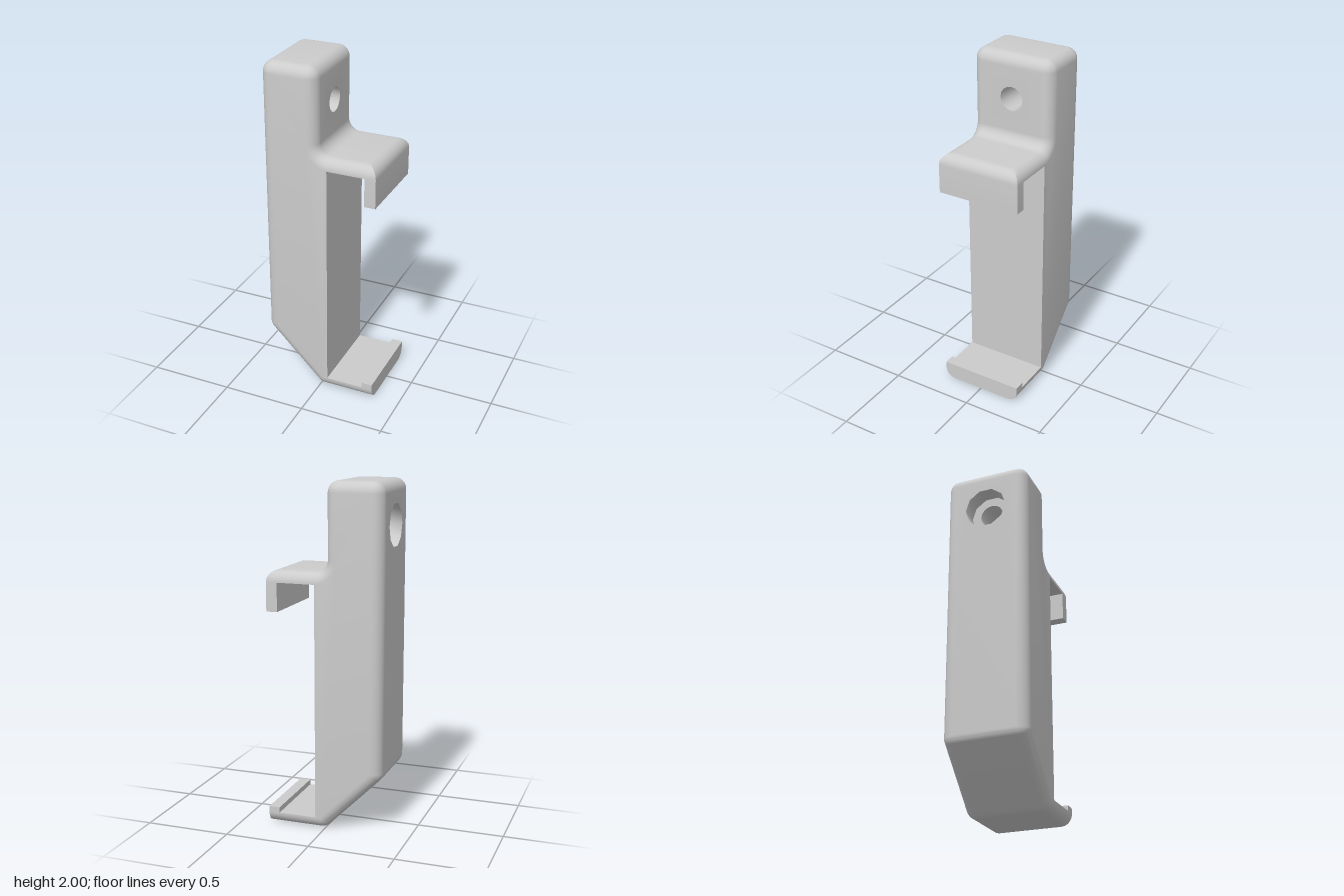
import * as THREE from 'three';
import { toCreasedNormals, mergeGeometries } from 'three/addons/utils/BufferGeometryUtils.js';

const R = 0.065;      // edge rounding
const N = 8;          // segments per rounding
const HALF = 0.25;    // half width along z
const HOLE_Y = 1.75;
const FLOOR_X = -0.24; // bottom of the screw-head recess

const arc = (cx, cy, r, a0, a1) => Array.from({ length: N + 1 }, (_, i) => {
  const a = THREE.MathUtils.degToRad(a0 + (a1 - a0) * i / N);
  return [cx + r * Math.cos(a), cy + r * Math.sin(a)];
});

// Clockwise side profile; d insets only the rounded outer contour
function section(d) {
  const k = R * (Math.SQRT2 - 1), r = R - d;
  return [
    [0.34, d],
    ...arc(k, R, r, 270, 225),
    ...arc(-0.34 + R, 0.34 + k, r, 225, 180),
    ...arc(-0.34 + R, 2 - R, r, 180, 90),
    ...arc(-0.01 - R, 2 - R, r, 90, 0),
    ...arc(-0.01 + R, 1.5 + R, R + d, 180, 270),
    ...arc(0.34 - R, 1.5 - R, R, 90, 0).map(([x, y]) => [x, Math.min(y, 1.5 - d)]),
    [0.34, 1.265], [0.275, 1.265], [0.275, 1.432], [0.052, 1.432],
    [0.052, 0.068], [0.275, 0.068], [0.275, 0.1], [0.34, 0.1],
  ];
}

// Collects triangles, dropping collapsed ones
function builder() {
  const pos = [];
  const tri = (a, b, c) => {
    const t = new THREE.Triangle(...[a, b, c].map((p) => new THREE.Vector3(...p)));
    if (t.getArea() > 1e-9) pos.push(...a, ...b, ...c);
  };
  const quad = (a, b, c, d) => { tri(a, b, c); tri(a, c, d); };
  const geometry = () => new THREE.BufferGeometry()
    .setAttribute('position', new THREE.Float32BufferAttribute(pos, 3));
  return { tri, quad, geometry };
}

const circle = (r, sides) => Array.from({ length: sides }, (_, i) => {
  const a = (i / sides) * Math.PI * 2;
  return new THREE.Vector2(r * Math.cos(a), HOLE_Y + r * Math.sin(a));
});
const recess = circle(0.125, 10);
const bore = circle(0.07, 16);

// Flat plate in the z-y plane with a hole, facing dir along x
function plate(outline, hole, x, dir) {
  const shape = new THREE.Shape(outline);
  shape.holes.push(new THREE.Path(hole));
  const g = new THREE.ShapeGeometry(shape).rotateY(dir * Math.PI / 2).translate(x, 0, 0).toNonIndexed();
  g.deleteAttribute('uv');
  g.deleteAttribute('normal');
  return g;
}
const rect = (w, y0, y1) => [[-w, y0], [w, y0], [w, y1], [-w, y1]].map((p) => new THREE.Vector2(...p));

function bodyGeometry() {
  const b = builder();
  // Rows across the width: quarter-round, flat middle, quarter-round
  const rows = [];
  for (let i = 0; i <= N; i++) {
    const a = (i / N) * Math.PI / 2;
    rows.push({ z: -HALF + R - R * Math.cos(a), pts: section(R * (1 - Math.sin(a))) });
  }
  rows.push(...rows.map(({ z, pts }) => ({ z: -z, pts })).reverse());

  const backEdge = 2 * (N + 1), frontEdge = 4 * (N + 1);
  for (let j = 0; j < rows.length - 1; j++) {
    const A = rows[j], B = rows[j + 1];
    A.pts.forEach((p, i) => {
      // The two drilled faces are made as plates below
      if (j === N && (i === backEdge || i === frontEdge)) return;
      const n = (i + 1) % A.pts.length;
      b.quad([...p, A.z], [...B.pts[i], B.z], [...B.pts[n], B.z], [...A.pts[n], A.z]);
    });
  }

  // Flat sides
  const end = rows[0].pts.filter((p, i, all) => {
    const q = all[(i + 1) % all.length];
    return Math.hypot(p[0] - q[0], p[1] - q[1]) > 1e-6;
  });
  const v = end.map((p) => new THREE.Vector2(...p));
  for (const face of THREE.ShapeUtils.triangulateShape(v, [])) {
    const ccw = THREE.ShapeUtils.area(face.map((i) => v[i])) > 0;
    const [p, q, s] = ccw ? face : [...face].reverse();
    b.tri([...end[p], HALF], [...end[q], HALF], [...end[s], HALF]);
    b.tri([...end[s], -HALF], [...end[q], -HALF], [...end[p], -HALF]);
  }

  // Drilled back and front faces
  const w = HALF - R;
  const back = plate(rect(w, 0.34 + R * (Math.SQRT2 - 1), 2 - R), recess, -0.34, -1);
  const front = plate(rect(w, 1.5 + R, 2 - R), bore, -0.01, 1);
  return toCreasedNormals(mergeGeometries([b.geometry(), back, front]), 0.6);
}

// Screw hole: wide recess at the back, narrow bore through to the front
function holeGeometry() {
  const b = builder();
  const wall = (pts, x0, x1) => pts.forEach((p, i) => {
    const q = pts[(i + 1) % pts.length];
    b.quad([x0, p.y, p.x], [x0, q.y, q.x], [x1, q.y, q.x], [x1, p.y, p.x]);
  });
  wall(recess, -0.34, FLOOR_X);
  wall(bore, FLOOR_X, -0.01);
  return toCreasedNormals(mergeGeometries([b.geometry(), plate(recess, bore, FLOOR_X, -1)]), 0.8);
}

export function createModel() {
  const group = new THREE.Group();
  group.name = 'wallClip';
  const material = new THREE.MeshStandardMaterial({ color: 0xcccccc });
  const add = (name, geometry) => {
    const mesh = new THREE.Mesh(geometry, material);
    mesh.name = name;
    group.add(mesh);
  };
  add('clipBody', bodyGeometry());
  add('screwHole', holeGeometry());
  return group;
}
